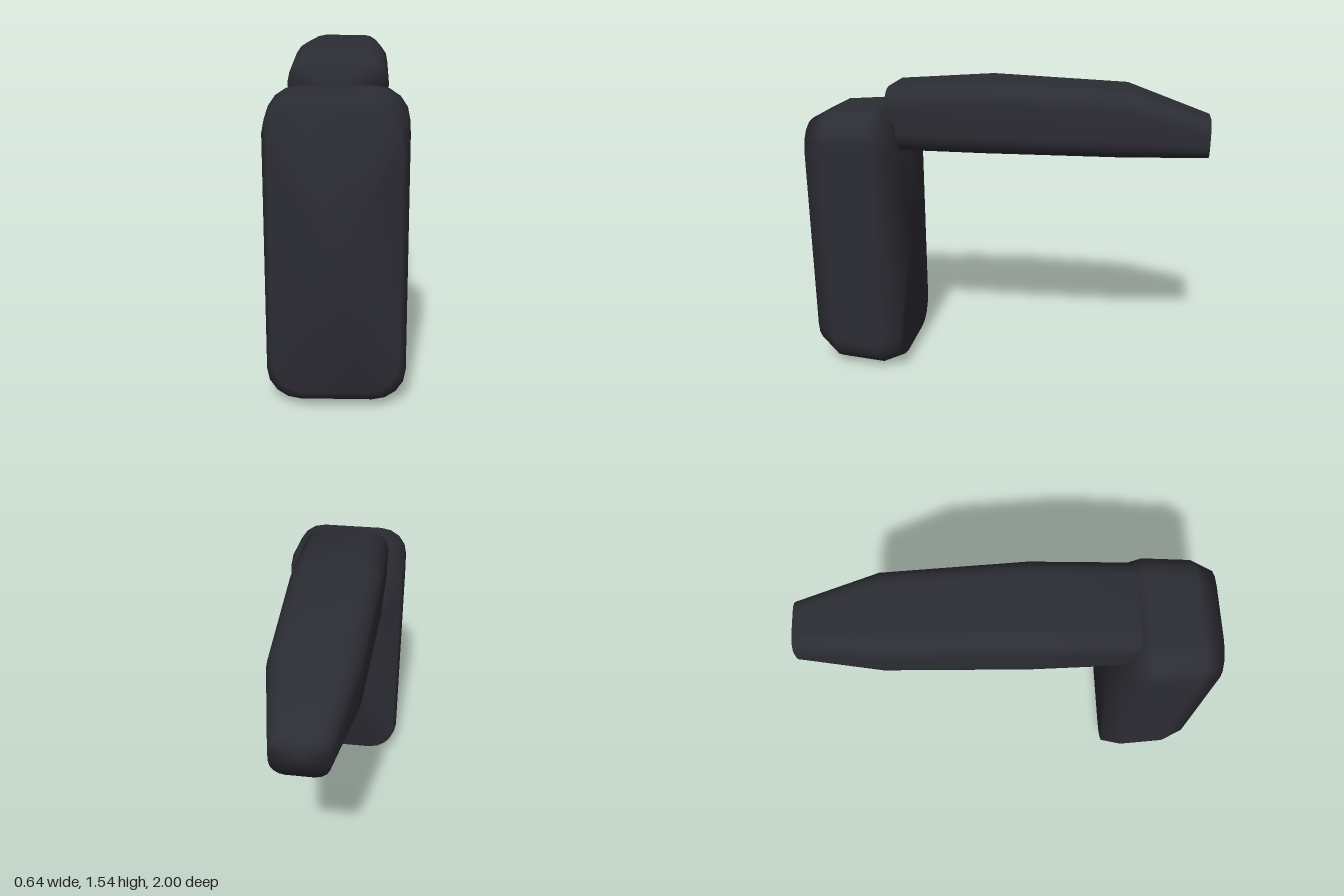
import * as THREE from 'three';

const CORNER_STEPS = 4;

// Rounded rectangle, counter-clockwise as seen from +z
function roundedSection({ z, halfWidth, bottom, top, radius }) {
  const points = [];
  const corners = [
    [halfWidth - radius, top - radius],
    [-halfWidth + radius, top - radius],
    [-halfWidth + radius, bottom + radius],
    [halfWidth - radius, bottom + radius],
  ];
  corners.forEach(([cx, cy], quarter) => {
    for (let i = 0; i <= CORNER_STEPS; i++) {
      const a = (quarter + i / CORNER_STEPS) * Math.PI / 2;
      points.push([cx + radius * Math.cos(a), cy + radius * Math.sin(a), z]);
    }
  });
  return points;
}

// Smooth closed skin over sections listed from front to back
function loft(sections) {
  const rings = sections.map(roundedSection);
  const n = rings[0].length;
  const positions = rings.flat(2);
  const index = [];
  for (let s = 0; s < rings.length - 1; s++) {
    for (let j = 0; j < n; j++) {
      const a = s * n + j, b = s * n + (j + 1) % n;
      index.push(a, a + n, b, b, a + n, b + n);
    }
  }
  // End caps share the ring vertices so the rims shade softly
  const first = rings.length * n, last = first + 1, start = (rings.length - 1) * n;
  for (const s of [sections[0], sections[sections.length - 1]]) {
    positions.push(0, (s.bottom + s.top) / 2, s.z);
  }
  for (let j = 0; j < n; j++) {
    const k = (j + 1) % n;
    index.push(first, j, k, last, start + k, start + j);
  }
  const geometry = new THREE.BufferGeometry();
  geometry.setAttribute('position', new THREE.Float32BufferAttribute(positions, 3));
  geometry.setIndex(index);
  geometry.computeVertexNormals();
  return geometry;
}

export function createModel() {
  const group = new THREE.Group();
  const charcoal = new THREE.MeshStandardMaterial({ color: 0x2c2c34 });
  charcoal.name = 'charcoal';

  const add = (name, sections) => {
    const mesh = new THREE.Mesh(loft(sections), charcoal);
    mesh.name = name;
    group.add(mesh);
  };

  // Tall upright block at the front
  add('uprightHousing', [
    { z: 1.0, halfWidth: 0.275, bottom: 0.10, top: 1.335, radius: 0.14 },
    { z: 0.9, halfWidth: 0.31, bottom: 0.015, top: 1.385, radius: 0.15 },
    { z: 0.66, halfWidth: 0.32, bottom: 0, top: 1.4, radius: 0.15 },
    { z: 0.54, halfWidth: 0.305, bottom: 0.05, top: 1.355, radius: 0.15 },
  ]);

  // Long tapering arm reaching backward from the top
  add('rearArm', [
    { z: 0.59, halfWidth: 0.225, bottom: 1.185, top: 1.51, radius: 0.1 },
    { z: 0.1, halfWidth: 0.23, bottom: 1.185, top: 1.545, radius: 0.1 },
    { z: -0.59, halfWidth: 0.21, bottom: 1.185, top: 1.52, radius: 0.1 },
    { z: -1.0, halfWidth: 0.13, bottom: 1.185, top: 1.38, radius: 0.07 },
  ]);

  return group;
}
